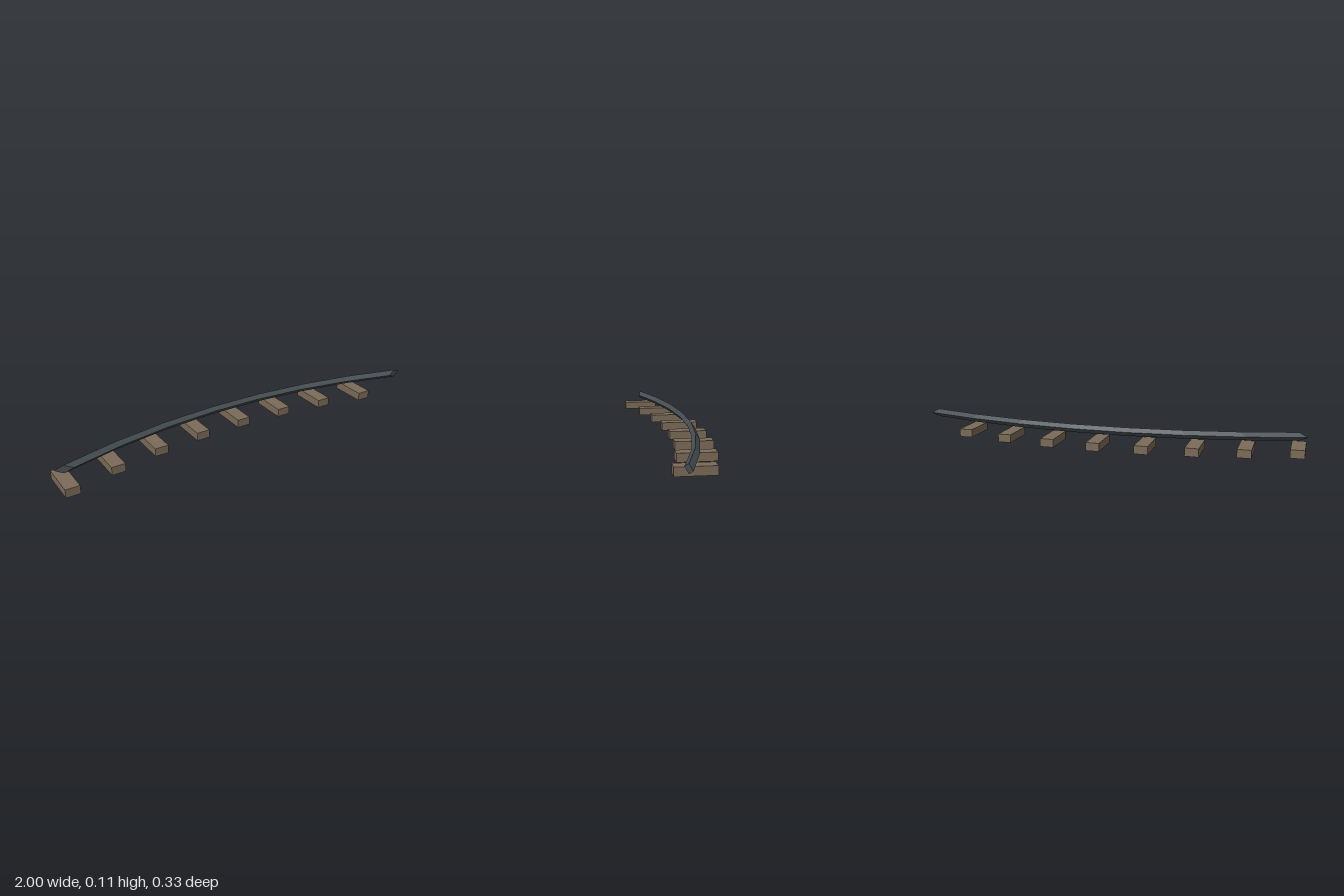
import * as THREE from 'three';

const HALF = 0.9586; // half span of the curve
const BEND = 0.0738; // half depth of the curve

// Height of the arc in z for t in -1..1
const arcZ = (t) => -BEND + 2 * BEND * t * t;

// Diamond-section rail swept along the arc; the section is stretched in x with the curve
function railGeometry(segments, midY, halfHeight, stretchX, stretchZ) {
  const points = [];
  const index = [];
  const ratio = stretchX / stretchZ;
  for (let i = 0; i <= segments; i++) {
    const t = (2 * i) / segments - 1;
    const angle = Math.atan(((4 * BEND * t) / HALF) * ratio);
    const nx = -Math.sin(angle) * stretchX;
    const nz = Math.cos(angle) * stretchZ;
    const x = t * HALF;
    const z = arcZ(t);
    points.push(x + nx, midY, z + nz, x, midY + halfHeight, z);
    points.push(x - nx, midY, z - nz, x, midY - halfHeight, z);
  }
  for (let i = 0; i < segments; i++) {
    for (let j = 0; j < 4; j++) {
      const a = i * 4 + j;
      const d = i * 4 + ((j + 1) % 4);
      index.push(a, a + 4, d + 4, a, d + 4, d);
    }
  }
  // End caps
  const e = segments * 4;
  index.push(0, 1, 2, 0, 2, 3, e, e + 2, e + 1, e, e + 3, e + 2);

  const indexed = new THREE.BufferGeometry();
  indexed.setAttribute('position', new THREE.Float32BufferAttribute(points, 3));
  indexed.setIndex(index);
  const geometry = indexed.toNonIndexed();
  geometry.computeVertexNormals();
  return geometry;
}

export function createModel() {
  const group = new THREE.Group();
  group.name = 'curvedTrack';

  const metal = new THREE.MeshStandardMaterial({ color: 0x474f54, flatShading: true });
  const wood = new THREE.MeshStandardMaterial({ color: 0x7b6b58 });

  // Rail
  const rail = new THREE.Mesh(railGeometry(7, 0.085, 0.0205, 0.056, 0.0158), metal);
  rail.name = 'rail';
  group.add(rail);

  // Sleepers: eight equal steps along the arc, none at the far end
  const sleepers = new THREE.Group();
  sleepers.name = 'sleepers';
  const sleeperGeometry = new THREE.BoxGeometry(0.068, 0.041, 0.186);
  for (let i = 0; i < 8; i++) {
    const t = i / 4 - 1;
    const sleeper = new THREE.Mesh(sleeperGeometry, wood);
    sleeper.name = `sleeper${i + 1}`;
    sleeper.position.set(t * HALF, 0.0205, arcZ(t));
    sleepers.add(sleeper);
  }
  group.add(sleepers);

  return group;
}
